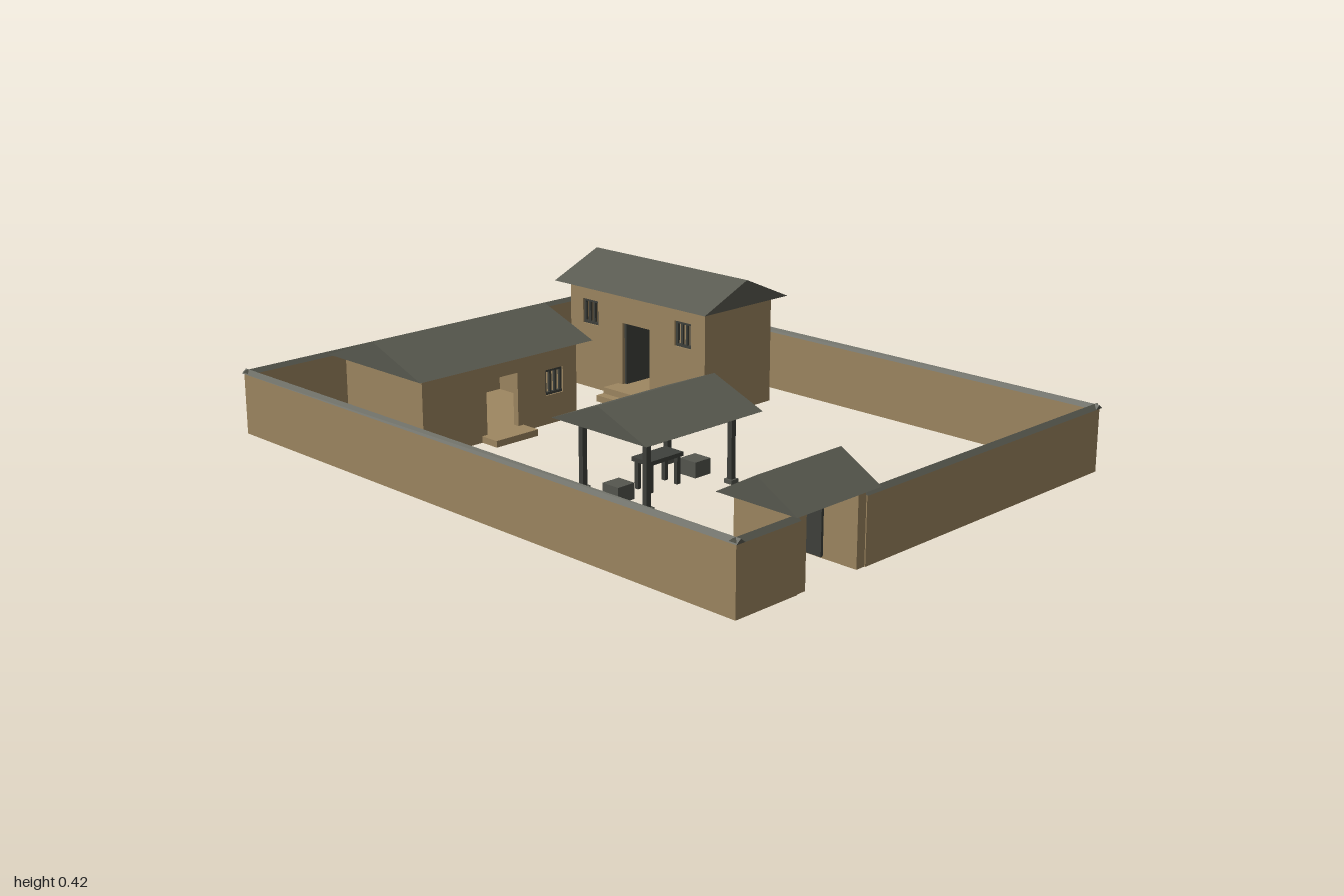
import * as THREE from 'three';

export function createModel() {
  const mat = (name, color) => {
    const m = new THREE.MeshStandardMaterial({ color });
    m.name = name;
    return m;
  };
  const earth = mat('earth wall', 0x9e8761);
  const tile = mat('roof tile', 0x595a50);
  const wood = mat('dark wood', 0x3f413c);
  const stone = mat('grey stone', 0x55564f);

  const model = new THREE.Group();
  model.name = 'courtyard';

  const group = (name, parent = model) => {
    const g = new THREE.Group();
    g.name = name;
    parent.add(g);
    return g;
  };
  const mesh = (parent, name, geometry, material) => {
    const m = new THREE.Mesh(geometry, material);
    m.name = name;
    parent.add(m);
    return m;
  };
  // Box given by its lowest and highest corners
  const box = (parent, name, material, [x0, y0, z0], [x1, y1, z1]) => {
    const m = mesh(parent, name, new THREE.BoxGeometry(x1 - x0, y1 - y0, z1 - z0), material);
    m.position.set((x0 + x1) / 2, (y0 + y1) / 2, (z0 + z1) / 2);
    return m;
  };
  // Closed gable prism, ridge along x, base centred on the origin
  const gable = (parent, name, length, depth, rise, y) => {
    const s = new THREE.Shape();
    s.moveTo(-depth / 2, 0);
    s.lineTo(depth / 2, 0);
    s.lineTo(0, rise);
    s.closePath();
    const g = new THREE.ExtrudeGeometry(s, { depth: length, bevelEnabled: false });
    g.translate(0, 0, -length / 2).rotateY(Math.PI / 2);
    const m = mesh(parent, name, g, tile);
    m.position.y = y;
    return m;
  };

  // Perimeter walls with ridged coping
  const WALL = 0.186, T = 0.02, X = 0.74, Z0 = -0.995, Z1 = 0.98;
  const yard = group('perimeterWall');
  const wallX = (name, x0, x1, z) => {
    box(yard, name, earth, [x0, 0, z - T / 2], [x1, WALL, z + T / 2]);
    gable(yard, name + 'Coping', x1 - x0 + 0.004, 0.03, 0.012, WALL).position.set((x0 + x1) / 2, WALL, z);
  };
  wallX('backWall', -X, X, Z0 + T / 2);
  wallX('frontWallLong', -0.275, X, Z1 - T / 2);
  wallX('frontWallShort', -X, -0.525, Z1 - T / 2);
  for (const s of [-1, 1]) {
    const x = s * (X - T / 2);
    box(yard, 'sideWall', earth, [x - T / 2, 0, Z0 + T], [x + T / 2, WALL, Z1 - T]);
    const c = gable(yard, 'sideWallCoping', Z1 - Z0 + 0.01, 0.03, 0.012, WALL);
    c.rotation.y = Math.PI / 2;
    c.position.set(x, WALL, (Z0 + Z1) / 2);
  }

  // Gatehouse: piers, lintel, open door leaves and roof
  const gate = group('gatehouse');
  gate.position.set(-0.4, 0, 0.87);
  for (const s of [-1, 1]) {
    const x = s * 0.11;
    box(gate, 'gatePier', earth, [x - 0.015, 0, -0.097], [x + 0.015, 0.205, 0.107]);
    const l = s * 0.091;
    box(gate, 'gateLeaf', wood, [l - 0.004, 0.005, -0.095], [l + 0.004, 0.17, 0]);
  }
  box(gate, 'gateLintel', earth, [-0.095, 0.173, -0.02], [0.095, 0.205, 0.02]);
  gable(gate, 'gateRoof', 0.31, 0.26, 0.073, 0.205);

  // House facing +z: pierced front wall, hollow room, steps, door leaf, lattice windows, roof
  function house(name, { w, d, h, rise, floor, doorTop, winY, windows, steps }) {
    const g = group(name);
    const t = 0.02, a = w / 2, b = d / 2, door = 0.06, winW = 0.035, winH = 0.04;
    const rect = (target, x0, y0, x1, y1) => {
      target.moveTo(x0, y0);
      target.lineTo(x1, y0);
      target.lineTo(x1, y1);
      target.lineTo(x0, y1);
      target.closePath();
      return target;
    };
    const front = rect(new THREE.Shape(), -a, 0, a, h);
    front.holes.push(rect(new THREE.Path(), -door, floor, door, doorTop));
    for (const x of windows)
      front.holes.push(rect(new THREE.Path(), x - winW, winY - winH, x + winW, winY + winH));
    mesh(g, 'frontWall', new THREE.ExtrudeGeometry(front, { depth: t, bevelEnabled: false }), earth)
      .position.z = b - t;
    box(g, 'rearWall', earth, [-a, 0, -b], [a, h, -b + t]);
    for (const s of [-1, 1]) {
      const x = s * (a - t / 2);
      box(g, 'endWall', earth, [x - t / 2, 0, -b + t], [x + t / 2, h, b - t]);
    }
    box(g, 'floor', earth, [-a + t, 0, -b + t], [a - t, floor, b - t]);

    // Steps, highest first
    for (let i = 0; i < steps; i++)
      box(g, 'step', earth, [-0.08, 0, b + (i ? 0.035 + 0.03 * i : 0)],
        [0.08, floor * (1 - i / steps), b + 0.065 + 0.03 * i]);

    // Door leaf swung inwards
    box(g, 'doorLeaf', wood, [-door, floor, b - t - 0.115], [-door + 0.008, doorTop, b - t + 0.01]);

    // Window frames and bars
    for (const x of windows) {
      const z0 = b - 0.014, z1 = b - 0.006;
      for (let i = 0; i < 4; i++) {
        const bx = x - winW + 0.004 + i * (2 * winW - 0.008) / 3;
        box(g, 'windowBar', wood, [bx - 0.004, winY - winH, z0], [bx + 0.004, winY + winH, z1]);
      }
      for (const y of [winY - winH + 0.004, winY + winH - 0.004])
        box(g, 'windowRail', wood, [x - winW, y - 0.004, z0], [x + winW, y + 0.004, z1 + 0.001]);
    }
    gable(g, 'roof', w + 0.068, d + 0.075, rise, h);
    return g;
  }

  house('mainHall', {
    w: 0.59, d: 0.358, h: 0.24, rise: 0.08, floor: 0.02, doorTop: 0.185,
    winY: 0.13, windows: [0.205], steps: 1,
  }).position.set(-0.225, 0, -0.612);

  const side = house('sideHouse', {
    w: 0.595, d: 0.295, h: 0.338, rise: 0.08, floor: 0.04, doorTop: 0.24,
    winY: 0.25, windows: [-0.205, 0.205], steps: 2,
  });
  side.position.set(0.462, 0, -0.424);
  side.rotation.y = -Math.PI / 2;

  // Open pavilion with posts on footings, a table and two stools
  const pavilion = group('pavilion');
  pavilion.position.set(-0.212, 0, 0.2);
  for (const x of [-0.163, 0.163]) for (const z of [-0.123, 0.123]) {
    box(pavilion, 'post', wood, [x - 0.008, 0, z - 0.008], [x + 0.008, 0.205, z + 0.008]);
    box(pavilion, 'footing', stone, [x - 0.014, 0, z - 0.014], [x + 0.014, 0.012, z + 0.014]);
  }
  for (const z of [-0.123, 0.123])
    box(pavilion, 'beam', wood, [-0.163, 0.18, z - 0.006], [0.163, 0.195, z + 0.006]);
  gable(pavilion, 'pavilionRoof', 0.445, 0.365, 0.072, 0.205);

  const table = group('table', pavilion);
  box(table, 'tableTop', wood, [-0.065, 0.08, -0.035], [0.065, 0.092, 0.035]);
  for (const x of [-0.052, 0.052]) for (const z of [-0.024, 0.024])
    box(table, 'tableLeg', wood, [x - 0.006, 0, z - 0.006], [x + 0.006, 0.08, z + 0.006]);
  for (const x of [-0.148, 0.148])
    box(pavilion, 'stool', stone, [x - 0.03, 0, -0.03], [x + 0.03, 0.046, 0.03]);

  return model;
}
